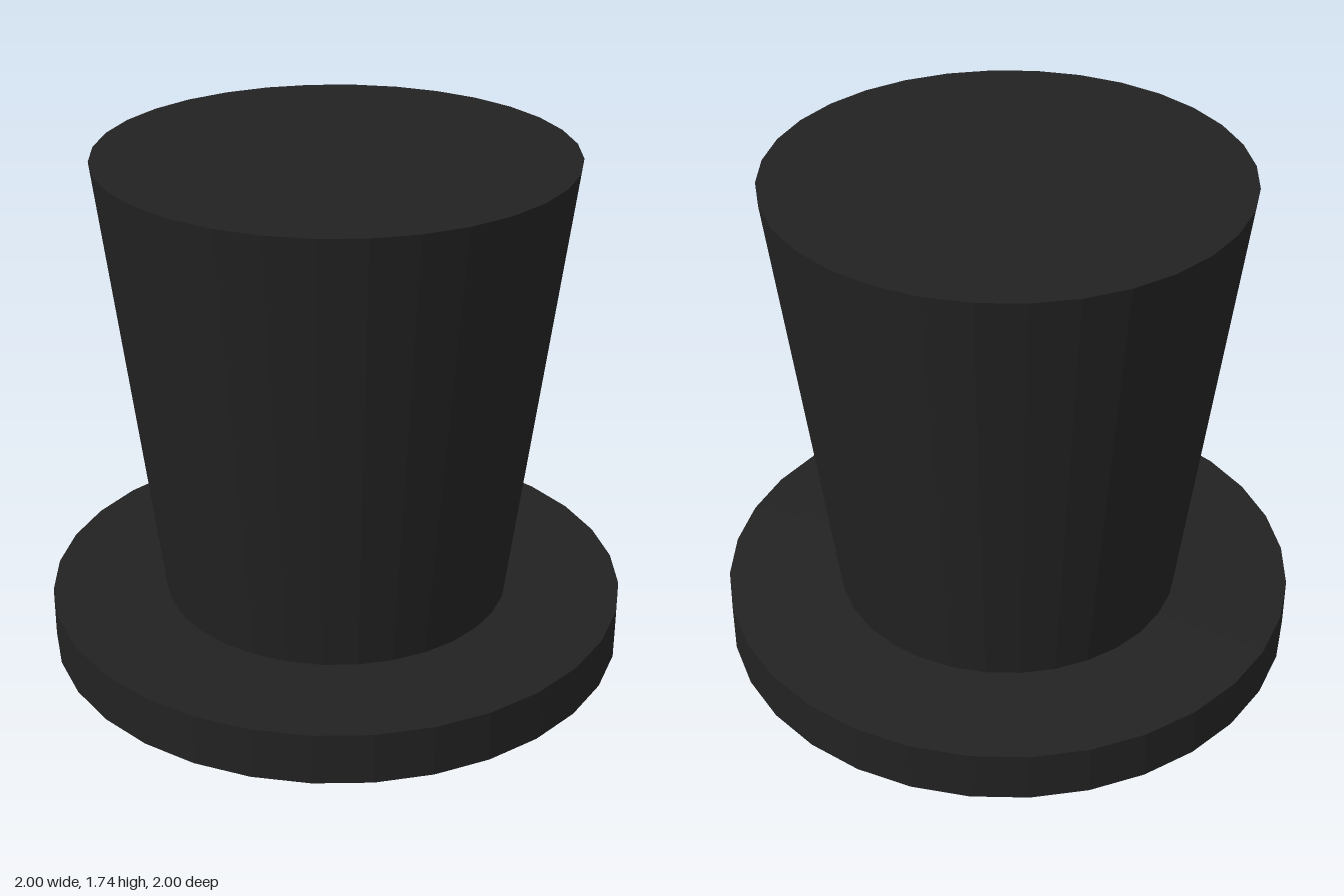
import * as THREE from 'three';

const SIDES = 32;

export function createModel() {
  const group = new THREE.Group();
  group.name = 'topHat';
  const felt = new THREE.MeshStandardMaterial({ color: 0x222222, flatShading: true });

  // A capped round section standing between two heights
  const addSection = (name, topRadius, bottomRadius, y0, y1) => {
    const geometry = new THREE.CylinderGeometry(topRadius, bottomRadius, y1 - y0, SIDES);
    const mesh = new THREE.Mesh(geometry, felt);
    mesh.name = name;
    mesh.position.y = (y0 + y1) / 2;
    group.add(mesh);
  };

  // Flat disc brim
  addSection('brim', 1, 1, 0, 0.18);
  // Crown flaring outward to a flat top
  addSection('crown', 0.795, 0.602, 0.18, 1.74);

  return group;
}
